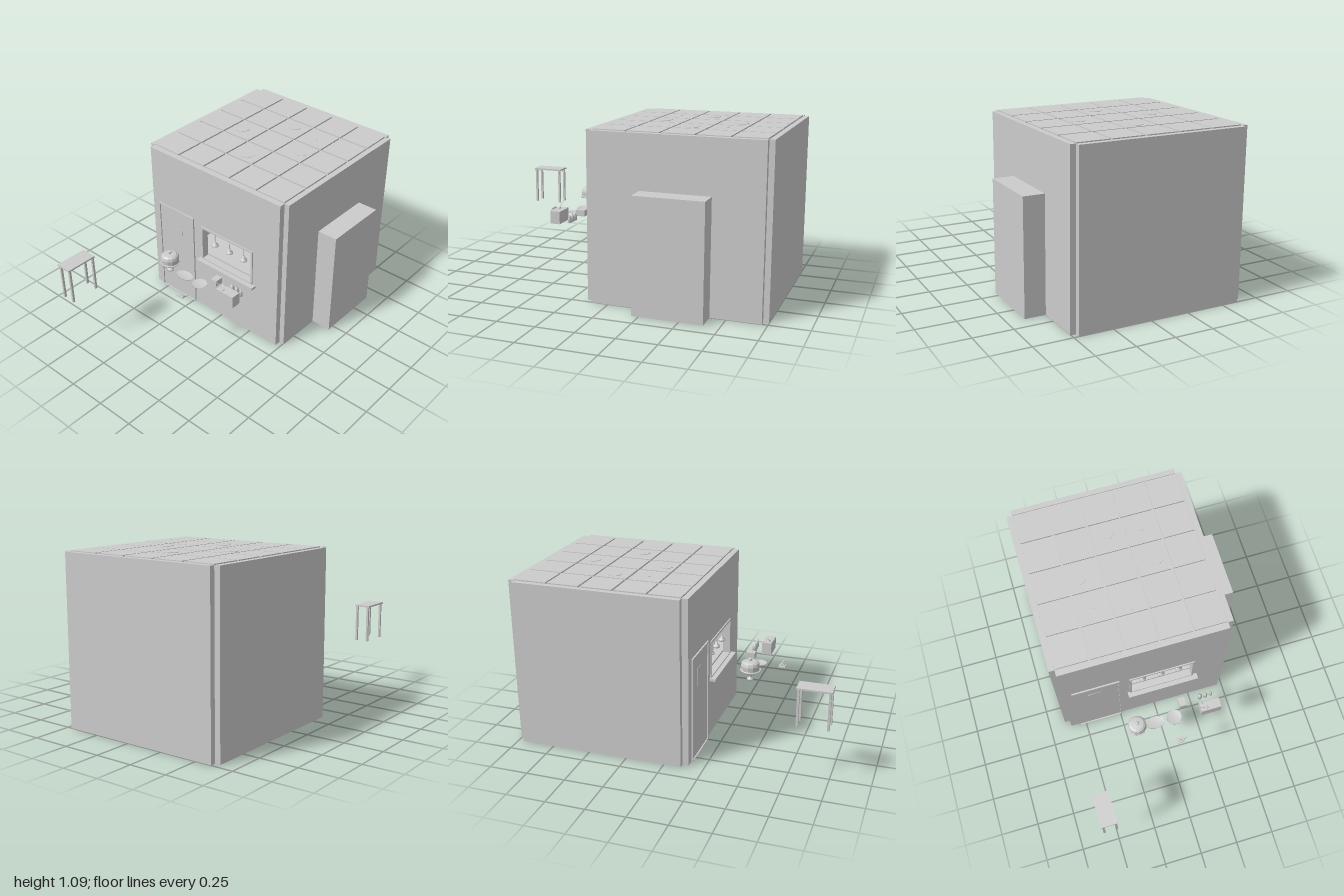
import * as THREE from 'three';

const mat = new THREE.MeshStandardMaterial({ color: 0xcccccc, side: THREE.DoubleSide });
const flatMat = new THREE.MeshStandardMaterial({ color: 0xcccccc, flatShading: true, side: THREE.DoubleSide });

function add(parent, name, geo, x = 0, y = 0, z = 0, material = mat) {
  const m = new THREE.Mesh(geo, material);
  m.name = name;
  m.position.set(x, y, z);
  parent.add(m);
  return m;
}

// Box given by its limits on each axis
function box(parent, name, x0, x1, y0, y1, z0, z1) {
  return add(parent, name, new THREE.BoxGeometry(x1 - x0, y1 - y0, z1 - z0),
    (x0 + x1) / 2, (y0 + y1) / 2, (z0 + z1) / 2);
}

function lathe(parent, name, pts, x, y, z, sides = 24, material = mat) {
  const profile = pts.map(([r, h]) => new THREE.Vector2(r, h));
  return add(parent, name, new THREE.LatheGeometry(profile, sides), x, y, z, material);
}

function group(parent, name) {
  const g = new THREE.Group();
  g.name = name;
  parent.add(g);
  return g;
}

function trace(path, x0, x1, y0, y1) {
  path.moveTo(x0, y0);
  path.lineTo(x1, y0);
  path.lineTo(x1, y1);
  path.lineTo(x0, y1);
  path.closePath();
  return path;
}

function roundedRect(x0, x1, y0, y1, r) {
  const s = new THREE.Shape();
  s.absarc(x1 - r, y1 - r, r, 0, Math.PI / 2);
  s.absarc(x0 + r, y1 - r, r, Math.PI / 2, Math.PI);
  s.absarc(x0 + r, y0 + r, r, Math.PI, Math.PI * 1.5);
  s.absarc(x1 - r, y0 + r, r, Math.PI * 1.5, Math.PI * 2);
  s.closePath();
  return s;
}

const extrude = (shape, depth) => new THREE.ExtrudeGeometry(shape, { depth, bevelEnabled: false, curveSegments: 6 });

function buildRoom(root) {
  const g = group(root, 'room');
  // Wall slabs stop short of each other, leaving notched corners
  const front = trace(new THREE.Shape(), -0.607, 0.47, 0, 1.08);
  front.holes.push(trace(new THREE.Path(), -0.158, 0.257, 0.4, 0.643));
  add(g, 'frontWall', extrude(front, 0.04), 0, 0, 0.11);
  box(g, 'backWall', -0.607, 0.47, 0, 1.08, -1, -0.965);
  box(g, 'leftWall', 0.47, 0.505, 0, 1.08, -0.965, 0.11);
  box(g, 'rightWall', -0.643, -0.607, 0, 1.08, -0.965, 0.11);
  box(g, 'floor', -0.607, 0.47, 0, 0.01, -0.965, 0.11);
  box(g, 'sideCupboard', 0.505, 0.64, 0, 0.735, -0.65, -0.205);

  // Ceiling of square tiles over a backing sheet
  box(g, 'ceiling', -0.607, 0.47, 1.065, 1.075, -0.965, 0.11);
  const step = 0.2154;
  for (let i = 0; i < 5; i++) for (let j = 0; j < 5; j++) {
    add(g, 'ceilingTile', new THREE.BoxGeometry(step - 0.012, 0.01, step - 0.012),
      -0.607 + step * (i + 0.5), 1.08, -0.965 + step * (j + 0.5));
  }
  for (const [x, z] of [[-0.315, -0.425], [0.18, -0.425], [-0.068, -0.175], [-0.068, -0.675]])
    add(g, 'ceilingLight', new THREE.CylinderGeometry(0.045, 0.045, 0.02, 24), x, 1.0775, z);
  for (const [x, z] of [[-0.285, -0.21], [0.145, -0.64]])
    add(g, 'sprinkler', new THREE.CylinderGeometry(0.01, 0.01, 0.02, 10), x, 1.0765, z);
}

function buildDoor(root) {
  const g = group(root, 'door');
  const frame = trace(new THREE.Shape(), -0.55, -0.236, 0, 0.685);
  frame.holes.push(trace(new THREE.Path(), -0.542, -0.245, 0.001, 0.677));
  add(g, 'doorFrame', extrude(frame, 0.012), 0, 0, 0.148);
  box(g, 'doorLeaf', -0.541, -0.246, 0.002, 0.676, 0.145, 0.153);
  add(g, 'doorPane', extrude(roundedRect(-0.45, -0.342, 0.45, 0.583, 0.022), 0.003), 0, 0, 0.152);
}

function buildWindow(root) {
  const g = group(root, 'servingWindow');
  const frame = trace(new THREE.Shape(), -0.17, 0.268, 0.4, 0.655);
  frame.holes.push(trace(new THREE.Path(), -0.156, 0.255, 0.41, 0.642));
  add(g, 'windowFrame', extrude(frame, 0.05), 0, 0, 0.108);
  box(g, 'windowSill', -0.186, 0.294, 0.385, 0.402, 0.108, 0.19);
  // Counter and fittings inside the opening
  box(g, 'innerCounter', -0.3, 0.4, 0.405, 0.422, -0.13, 0.109);
  box(g, 'innerPost', 0.105, 0.115, 0.422, 0.66, -0.13, -0.12);
  const shelf = group(g, 'innerShelf');
  box(shelf, 'shelfSide', 0.22, 0.228, 0.422, 0.63, -0.1, 0.05);
  box(shelf, 'shelfSide', 0.246, 0.254, 0.422, 0.63, -0.1, 0.05);
  box(shelf, 'shelfTop', 0.22, 0.254, 0.622, 0.63, -0.1, 0.05);
  // Pendant lamps
  for (const x of [-0.075, 0.05, 0.17]) {
    const lamp = group(g, 'pendantLamp');
    add(lamp, 'lampCord', new THREE.CylinderGeometry(0.002, 0.002, 0.09, 8), x, 0.602, 0.125);
    lathe(lamp, 'lampShade', [[0, 0], [0.016, 0], [0.024, 0.006], [0.022, 0.014], [0.009, 0.026], [0.007, 0.038], [0, 0.04]],
      x, 0.524, 0.125, 20);
  }
}

function buildTable(root) {
  const g = group(root, 'table');
  box(g, 'tableTop', -0.595, -0.49, 0.602, 0.613, 0.79, 1);
  for (const x of [-0.58, -0.499]) for (const z of [0.803, 0.987])
    add(g, 'tableLeg', new THREE.BoxGeometry(0.014, 0.242, 0.014), x, 0.483, z);
}

function buildCakeStand(root) {
  const g = group(root, 'cakeStand');
  const [x, z] = [-0.197, 0.42];
  lathe(g, 'standFoot', [[0, 0], [0.022, 0], [0.02, 0.007], [0.009, 0.016], [0.007, 0.024], [0.013, 0.03],
    [0.015, 0.04], [0.01, 0.05], [0.02, 0.057], [0.064, 0.06], [0.064, 0.066], [0, 0.066]], x, 0.443, z, 16);
  lathe(g, 'standDome', [[0.062, 0], [0.058, 0.006], [0.06, 0.035], [0.054, 0.053], [0.042, 0.061], [0.012, 0.064], [0, 0.064]],
    x, 0.506, z, 12, flatMat);
  add(g, 'domeKnob', new THREE.SphereGeometry(0.011, 12, 8), x, 0.58, z);
}

function buildTableware(root) {
  const g = group(root, 'tableware');
  const plate = [[0, 0], [0.6, 0], [1, 0.007], [0.98, 0.009], [0.6, 0.003], [0, 0.003]];
  lathe(g, 'ovalPlate', plate, -0.075, 0.445, 0.415, 32).scale.set(0.063, 1, 0.041);
  lathe(g, 'roundPlate', plate, 0.055, 0.445, 0.415, 32).scale.set(0.05, 1, 0.05);
  box(g, 'smallBox', 0.108, 0.152, 0.45, 0.49, 0.31, 0.37);
  // Little tray with a handle
  box(g, 'tray', 0.025, 0.075, 0.448, 0.456, 0.55, 0.592);
  box(g, 'trayBlock', 0.04, 0.075, 0.456, 0.466, 0.56, 0.582);
  box(g, 'trayHandle', 0.04, 0.095, 0.464, 0.474, 0.567, 0.575);
}

function buildDispenser(root) {
  const g = group(root, 'dispenser');
  box(g, 'dispenserBody', 0.228, 0.362, 0.442, 0.523, 0.388, 0.452);
  // Slanted rod with a knob at its lower end
  const rod = add(g, 'dispenserRod', new THREE.CylinderGeometry(0.0018, 0.0018, 0.088, 8), 0.234, 0.546, 0.432);
  rod.rotation.z = Math.atan2(0.078, 0.04);
  add(g, 'rodKnob', new THREE.SphereGeometry(0.009, 12, 8), 0.27, 0.526, 0.432);
  add(g, 'bodyKnob', new THREE.SphereGeometry(0.008, 12, 8), 0.243, 0.522, 0.392);
  // Row of small jars behind it
  [0.255, 0.292, 0.328].forEach((x, i) => {
    const r = [0.015, 0.014, 0.011][i];
    lathe(g, 'jar', [[0, 0], [r, 0], [r, 0.03], [r * 0.6, 0.038], [r * 0.6, 0.046], [0, 0.05]], x, 0.45, 0.333, 14);
  });
  box(g, 'jarSpout', 0.328, 0.352, 0.488, 0.493, 0.331, 0.335);
}

export function createModel() {
  const root = new THREE.Group();
  root.name = 'snackKiosk';
  [buildRoom, buildDoor, buildWindow, buildTable, buildCakeStand, buildTableware, buildDispenser]
    .forEach((build) => build(root));
  return root;
}
